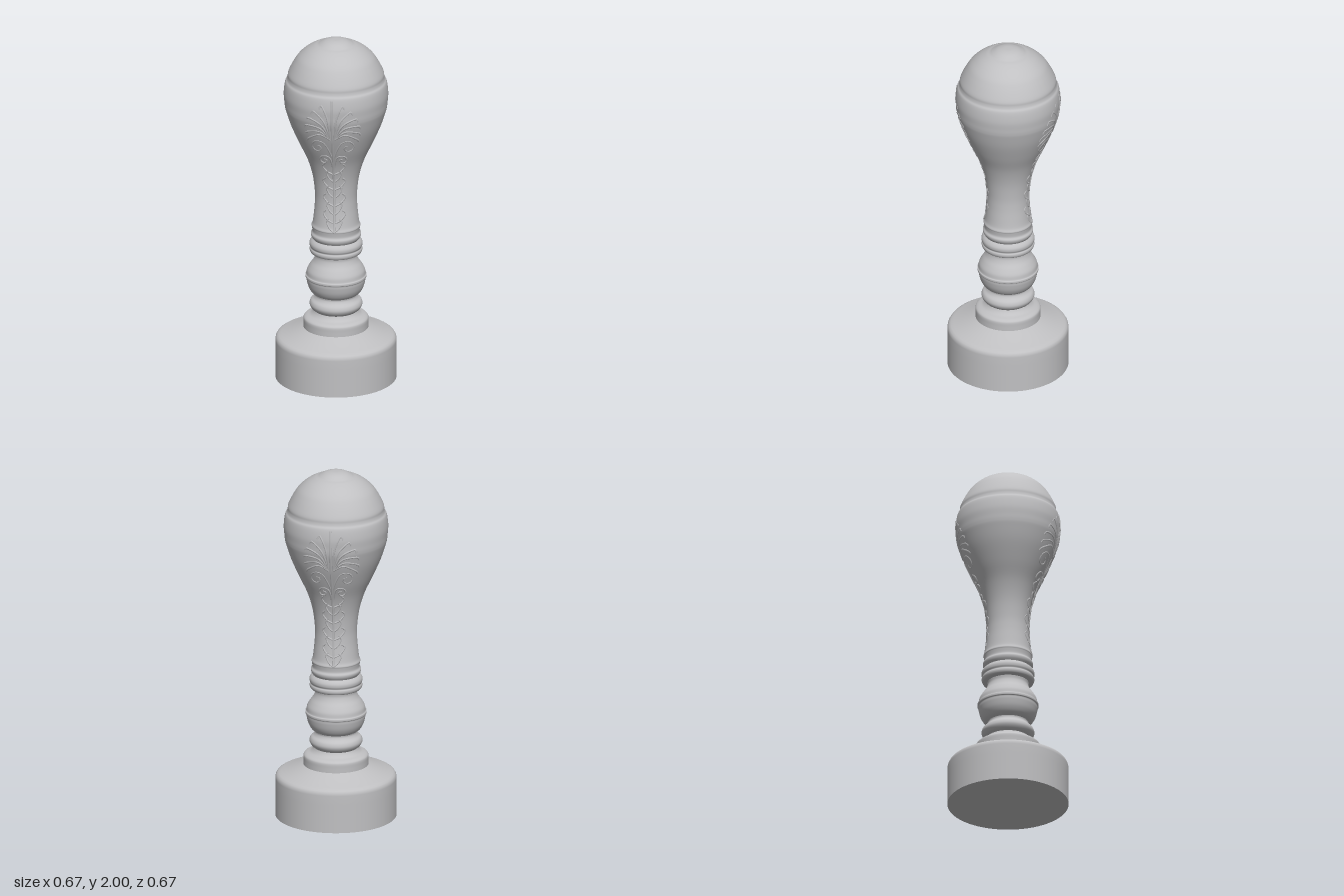
import * as THREE from 'three';

const stone = new THREE.MeshStandardMaterial({ color: 0xc0c0c2 });
stone.name = 'pale grey';

const toPoints = (pairs) => pairs.map(([r, y]) => new THREE.Vector2(r, y));

// Turned part; curved profiles are run through a spline
function turned(name, pairs, smooth = true) {
  const pts = toPoints(pairs);
  const profile = smooth ? new THREE.SplineCurve(pts).getPoints(pairs.length * 5) : pts;
  profile.forEach((p) => { p.x = Math.max(p.x, 0); });
  const mesh = new THREE.Mesh(new THREE.LatheGeometry(profile, 96), stone);
  mesh.name = name;
  return mesh;
}

// Handle silhouette from neck to crown
const handleProfile = [
  [0.128, 0.82], [0.137, 0.835], [0.139, 0.85], [0.131, 0.865], [0.133, 0.89], [0.135, 0.9],
  [0.128, 0.92], [0.122, 0.97], [0.117, 1.03], [0.117, 1.1], [0.13, 1.2], [0.16, 1.3],
  [0.207, 1.4], [0.25, 1.5], [0.276, 1.58], [0.283, 1.61], [0.286, 1.64], [0.289, 1.68],
  [0.286, 1.72], [0.28, 1.75], [0.271, 1.765], [0.267, 1.78], [0.265, 1.8], [0.252, 1.83],
  [0.23, 1.87], [0.205, 1.905], [0.165, 1.94], [0.125, 1.963], [0.1, 1.972],
  [0.085, 1.98], [0.06, 1.992], [0.03, 1.999], [0, 2],
];

// Handle radius at a given height
function radiusAt(y) {
  const i = Math.max(1, handleProfile.findIndex((p) => p[1] >= y));
  const [r0, y0] = handleProfile[i - 1];
  const [r1, y1] = handleProfile[i];
  return THREE.MathUtils.lerp(r0, r1, (y - y0) / (y1 - y0));
}

// Raised line lying on the handle; points are [distance round the surface, height]
function relief(points, thickness) {
  const flat = new THREE.SplineCurve(toPoints(points)).getPoints(14);
  const path = flat.map((p) => {
    const r = radiusAt(p.y);
    const a = p.x / r;
    const d = r - thickness * 0.45;
    return new THREE.Vector3(Math.sin(a) * d, p.y, Math.cos(a) * d);
  });
  const curve = new THREE.CatmullRomCurve3(path);
  return new THREE.Mesh(new THREE.TubeGeometry(curve, 18, thickness, 6), stone);
}

function ornament() {
  const group = new THREE.Group();
  const add = (points, t) => group.add(relief(points, t));

  add([[0, 0.9], [0, 1.1], [0, 1.3], [0, 1.48]], 0.008);
  add([[0, 1.5], [0, 1.6], [0, 1.74]], 0.009);

  for (const s of [-1, 1]) {
    // Palmette fan
    for (let i = 1; i <= 6; i++) {
      const a = i * 0.27;
      const len = 0.235 - i * 0.016;
      const tip = [s * Math.sin(a) * len, 1.5 + Math.cos(a) * len];
      add([
        [s * 0.012, 1.5],
        [s * Math.sin(a * 0.75) * len * 0.55, 1.5 + Math.cos(a * 0.75) * len * 0.6],
        tip,
        [tip[0] + s * 0.014, tip[1] - 0.02],
      ], 0.007);
    }
    // Paired scrolls under the fan
    for (const [cx, cy, size] of [[0.085, 1.44, 0.05], [0.05, 1.35, 0.036]]) {
      const scroll = [];
      for (let k = 0; k <= 9; k++) {
        const a = Math.PI * 0.9 - k * 0.85;
        const r = size * (1 - k * 0.085);
        scroll.push([s * (cx + Math.cos(a) * r), cy + Math.sin(a) * r]);
      }
      add([[s * 0.006, cy - size * 1.3], ...scroll], 0.006);
    }
    // Leaves down the stem
    for (let i = 0; i < 8; i++) {
      const y = 0.9 + i * 0.05;
      const w = 0.042 + (i % 2) * 0.022;
      add([[0, y], [s * w * 0.6, y + 0.02], [s * w, y + 0.055], [s * w * 0.75, y + 0.075]], 0.005);
    }
  }
  return group;
}

export function createModel() {
  const model = new THREE.Group();
  model.name = 'turnedHandleStamp';

  // Round base: wall with eased edge, sloping top and underside
  model.add(turned('baseDrum', [
    [0.335, 0], [0.335, 0.08], [0.335, 0.16], [0.335, 0.215], [0.333, 0.228], [0.327, 0.239],
    [0.316, 0.246], [0.3, 0.251], [0.26, 0.265], [0.215, 0.283], [0.18, 0.297],
  ], false));
  const underside = new THREE.Mesh(new THREE.CircleGeometry(0.335, 96), stone);
  underside.rotation.x = Math.PI / 2;
  underside.name = 'baseUnderside';
  model.add(underside);

  // Stacked turnings between base and handle
  model.add(turned('collar', [
    [0.18, 0.29], [0.18, 0.32], [0.18, 0.343], [0.176, 0.354], [0.164, 0.362],
    [0.142, 0.37], [0.128, 0.382], [0.12, 0.395],
  ]));
  model.add(turned('lowerBead', [
    [0.12, 0.395], [0.134, 0.406], [0.144, 0.422], [0.146, 0.437], [0.139, 0.454],
    [0.123, 0.467], [0.115, 0.48], [0.115, 0.49],
  ]));
  model.add(turned('bulb', [
    [0.115, 0.49], [0.136, 0.505], [0.153, 0.535], [0.162, 0.57], [0.164, 0.588],
    [0.169, 0.593], [0.169, 0.604], [0.164, 0.61], [0.159, 0.635], [0.143, 0.663],
    [0.124, 0.69], [0.114, 0.715], [0.115, 0.735],
  ]));
  model.add(turned('upperRing', [
    [0.115, 0.735], [0.137, 0.738], [0.145, 0.75], [0.145, 0.762], [0.141, 0.77],
    [0.146, 0.782], [0.146, 0.797], [0.139, 0.81], [0.128, 0.82],
  ]));
  model.add(turned('handle', handleProfile));

  // Carved relief on front and back
  for (const [name, turn] of [['frontCarving', 0], ['backCarving', Math.PI]]) {
    const carving = ornament();
    carving.name = name;
    carving.rotation.y = turn;
    model.add(carving);
  }
  return model;
}
